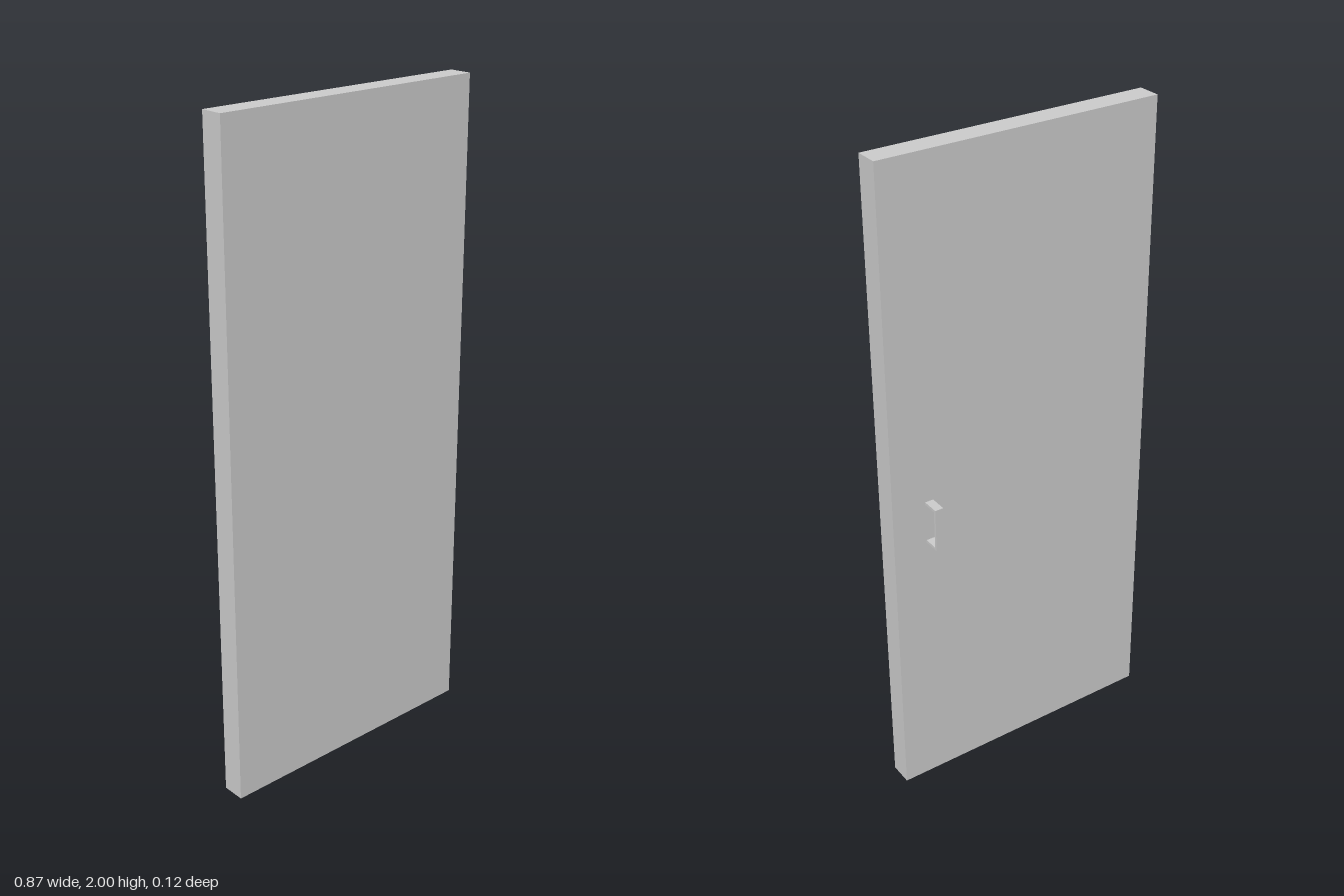
import * as THREE from 'three';

export function createModel() {
  const model = new THREE.Group();
  model.name = 'door';
  const material = new THREE.MeshStandardMaterial({ color: 0xcccccc, flatShading: true });

  // Door leaf: a plain slab
  const width = 0.872, height = 2, back = -0.009, front = 0.062;
  const panel = new THREE.Mesh(new THREE.BoxGeometry(width, height, front - back), material);
  panel.name = 'doorPanel';
  panel.position.set(0, height / 2, (front + back) / 2);
  model.add(panel);

  // Pull handle on the back: a flat strip bent into a bracket, extruded across its width
  const reach = 0.053, bottom = 0.853, top = 0.988, t = 0.008, strip = 0.026;
  const profile = new THREE.Shape([
    [0, bottom], [reach, bottom], [reach, top], [0, top],
    [0, top - t], [reach - t, top - t], [reach - t, bottom + t], [0, bottom + t],
  ].map(([x, y]) => new THREE.Vector2(x, y)));
  const handleGeometry = new THREE.ExtrudeGeometry(profile, { depth: strip, bevelEnabled: false });
  handleGeometry.rotateY(Math.PI / 2);
  const handle = new THREE.Mesh(handleGeometry, material);
  handle.name = 'pullHandle';
  handle.position.set(0.305, 0, back);
  model.add(handle);

  return model;
}
